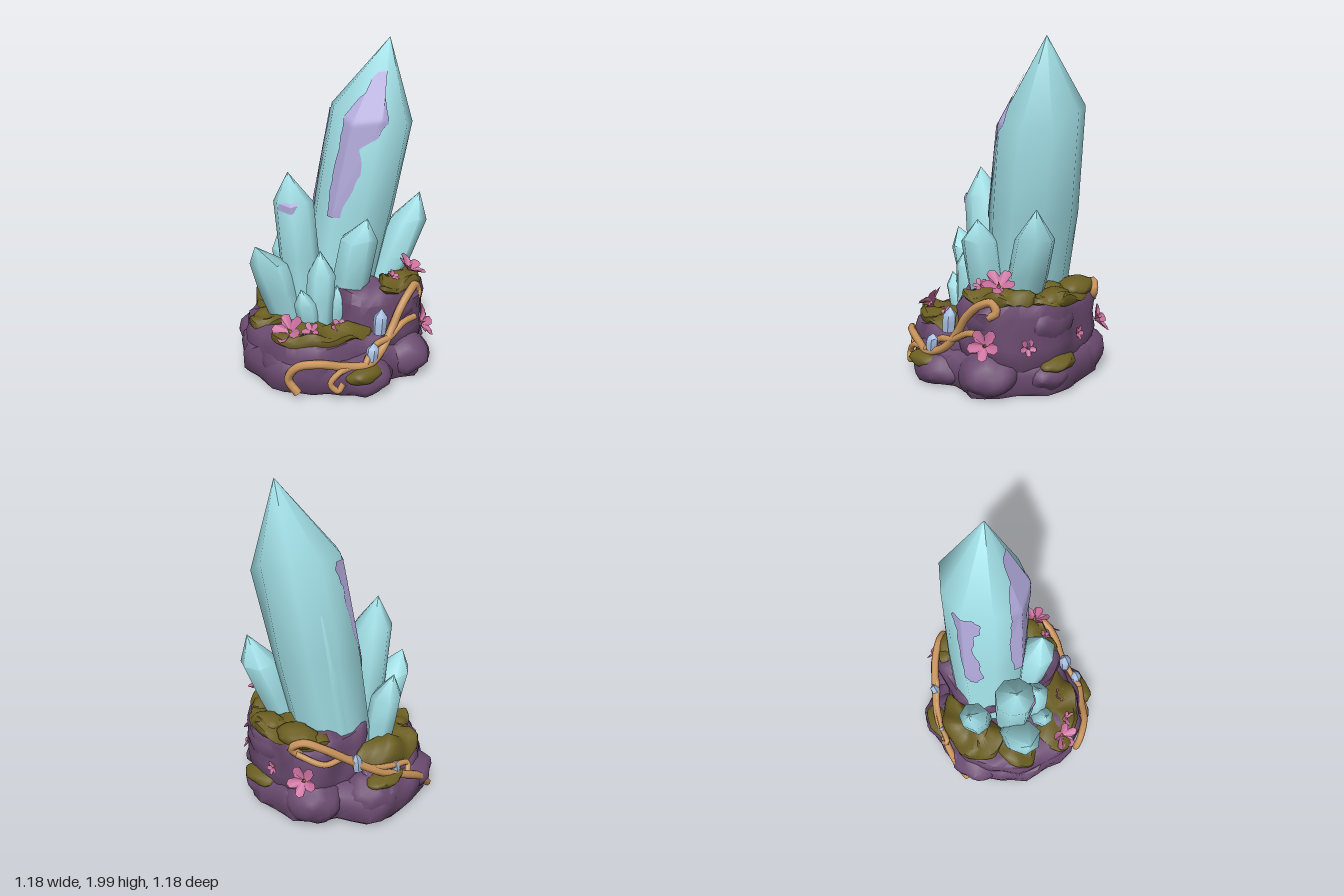
import * as THREE from 'three';
import { toCreasedNormals } from 'three/addons/utils/BufferGeometryUtils.js';

const V = (x, y, z) => new THREE.Vector3(x, y, z);
const mat = (name, color, side = THREE.FrontSide) => {
  const m = new THREE.MeshStandardMaterial({ color, side });
  m.name = name;
  return m;
};

export function createModel() {
  const model = new THREE.Group();
  model.name = 'crystalCluster';
  const crystalBlue = mat('crystal blue', 0xa3e2e9);
  const lavender = mat('lavender', 0xb0a8da, THREE.DoubleSide);
  const rockPurple = mat('rock purple', 0x6b4b70);
  const mossGreen = mat('moss green', 0x6b5e22);
  const vineBrown = mat('vine brown', 0xc8935a);
  const petalPink = mat('petal pink', 0xcb709f, THREE.DoubleSide);
  const shardBlue = mat('shard blue', 0xa9c0e4);
  const pollen = mat('pollen yellow', 0xc9a24a);

  const add = (name, geo, material) => {
    const m = new THREE.Mesh(geo, material);
    m.name = name;
    model.add(m);
    return m;
  };

  // Skin a stack of rings, listed from bottom to top
  function loft(rings, crease) {
    const n = rings[0].length, pos = [], idx = [];
    rings.forEach(r => r.forEach(p => pos.push(p.x, p.y, p.z)));
    for (let k = 0; k < rings.length - 1; k++) {
      for (let j = 0; j < n; j++) {
        const a = k * n + j, b = k * n + (j + 1) % n;
        idx.push(a, a + n, b, b, a + n, b + n);
      }
    }
    const g = new THREE.BufferGeometry();
    g.setAttribute('position', new THREE.Float32BufferAttribute(pos, 3));
    g.setIndex(idx);
    return toCreasedNormals(g, crease);
  }

  // ---- Crystals: base, mid, shoulder and tip rings ----
  function crystalRings(base, shoulder, tip, r, sides, tilt = 0) {
    const b = V(...base), s = V(...shoulder), t = V(...tip);
    const mid = b.clone().lerp(s, 0.55);
    return [[b, 0], [b, r * 0.92], [mid, r * 1.03], [s, r], [t, 0]].map(([c, rad], k) =>
      Array.from({ length: sides }, (_, j) => {
        const a = j / sides * Math.PI * 2;
        const jit = k === 3 ? r * 0.12 * Math.sin(j * 2.4 + r * 30) - tilt * Math.sin(a) : 0;
        const rr = rad * (1 + 0.04 * Math.sin(j * 3.1 + k));
        return V(c.x + rr * Math.cos(a), c.y + jit, c.z + rr * Math.sin(a));
      }));
  }

  // Point just above the skinned rings at an angle in degrees and a ring height
  function onRings(rings, deg, k) {
    const n = rings[0].length, j = deg / 360 * n;
    const j0 = Math.floor(j), k0 = Math.min(Math.floor(k), rings.length - 2);
    const u = j - j0, v = k - k0;
    const A = rings[k0][j0 % n], B = rings[k0][(j0 + 1) % n];
    const C = rings[k0 + 1][j0 % n], D = rings[k0 + 1][(j0 + 1) % n];
    const mix = (O, P, s, Q, t) => O.clone().addScaledVector(P.clone().sub(O), s).addScaledVector(Q.clone().sub(O), t);
    const p = u + v <= 1 ? mix(A, B, u, C, v) : mix(D, C, 1 - u, B, 1 - v);
    const a = deg * Math.PI / 180;
    return p.add(V(Math.cos(a), 0.3, Math.sin(a)).multiplyScalar(0.007));
  }

  // Thin tinted patch over a crystal; rows are [ring height, from angle, to angle]
  function patch(rings, rows) {
    const R = 40, C = 16, pos = [], idx = [];
    for (let i = 0; i <= R; i++) {
      const f = i / R * (rows.length - 1), i0 = Math.min(Math.floor(f), rows.length - 2);
      const [k, a, b] = rows[i0].map((v, q) => THREE.MathUtils.lerp(v, rows[i0 + 1][q], f - i0));
      const wob = 1.5 * Math.sin(i * 0.9);
      for (let j = 0; j <= C; j++) {
        pos.push(...onRings(rings, THREE.MathUtils.lerp(a + wob, b - wob * 0.6, j / C), k).toArray());
        if (i < R && j < C) {
          const p = i * (C + 1) + j, q = p + C + 1;
          idx.push(p, q, p + 1, p + 1, q, q + 1);
        }
      }
    }
    const g = new THREE.BufferGeometry();
    g.setAttribute('position', new THREE.Float32BufferAttribute(pos, 3));
    g.setIndex(idx);
    g.computeVertexNormals();
    add('lavenderPatch', g, lavender);
  }

  const main = crystalRings([0.09, 0.3, -0.085], [0.285, 1.55, 0.035], [0.37, 2, 0.1], 0.255, 9, 0.06);
  add('mainCrystal', loft(main, 1.1), crystalBlue);
  patch(main, [[1.94, 150, 172], [2.2, 143, 176], [2.4, 134, 178], [2.7, 142, 176], [2.82, 122, 176],
    [2.98, 112, 176], [3.15, 108, 172], [3.35, 112, 160], [3.58, 120, 132]]);
  patch(main, [[1.86, 224, 234], [1.96, 216, 240], [2.2, 220, 245], [2.5, 228, 250], [2.7, 224, 250], [2.78, 216, 254],
    [2.9, 218, 258], [2.95, 226, 254]]);

  const tall = crystalRings([-0.17, 0.28, -0.06], [-0.237, 1.05, -0.09], [-0.27, 1.23, -0.1], 0.122, 8);
  add('tallSideCrystal', loft(tall, 1.1), crystalBlue);
  patch(tall, [[2.88, 130, 175], [2.98, 118, 172], [3.1, 112, 150]]);

  [
    [[-0.26, 0.28, -0.1], [-0.4, 0.69, -0.125], [-0.495, 0.81, -0.13], 0.115],
    [[-0.2, 0.28, 0.1], [-0.19, 0.64, 0.11], [-0.2, 0.78, 0.11], 0.085],
    [[-0.26, 0.28, 0.1], [-0.31, 0.48, 0.1], [-0.34, 0.57, 0.1], 0.065],
    [[-0.01, 0.3, 0.11], [-0.003, 0.84, 0.235], [0.02, 0.97, 0.28], 0.113],
    [[0.23, 0.4, 0.15], [0.405, 0.9, 0.25], [0.45, 1.07, 0.3], 0.115],
    [[-0.08, 0.3, -0.27], [-0.115, 0.68, -0.32], [-0.13, 0.83, -0.36], 0.095],
    [[-0.1, 0.28, 0.13], [-0.1, 0.47, 0.16], [-0.12, 0.56, 0.17], 0.06],
    [[0.14, 0.3, -0.21], [0.27, 1.3, -0.13], [0.3, 1.5, -0.12], 0.11],
  ].forEach(c => add('smallCrystal', loft(crystalRings(...c, 7), 1.1), crystalBlue));

  // ---- Rock and moss: a plan outline [x, z] stacked at [y, scale] ----
  function mound(name, outline, levels, rough, material) {
    const curve = new THREE.CatmullRomCurve3(outline.map(([x, z]) => V(x, 0, z)), true);
    const c = outline.reduce((s, [x, z]) => s.add(V(x, 0, z)), V(0, 0, 0)).divideScalar(outline.length);
    let pts = curve.getPoints(40).slice(0, 40);
    const area = pts.reduce((s, p, i) => s + p.x * pts[(i + 1) % 40].z - p.z * pts[(i + 1) % 40].x, 0);
    if (area < 0) pts = pts.reverse();
    const rings = levels.map(([y, s], k) => pts.map(p => {
      const q = c.clone().lerp(p, s);
      const n = s > 0 ? Math.sin(q.x * 23 + k * 0.6) * Math.sin(q.z * 21 - k * 0.5) * rough : 0;
      const grow = 1 + n * 1.5;
      return V(c.x + (q.x - c.x) * grow, y > 0.05 ? y + n * 0.8 : y, c.z + (q.z - c.z) * grow);
    }));
    add(name, loft(rings, 0.9), material);
  }

  const radii = [.56, .58, .53, .59, .49, .57, .54, .58, .575, .575, .57, .58, .57, .595, .5, .57];
  mound('rockFoot', radii.map((r, i) => [r * Math.cos(i * Math.PI / 8), r * Math.sin(i * Math.PI / 8)]),
    [[.01, 0], [.01, .95], [.04, .99], [.13, 1], [.19, .97], [.235, .87], [.25, .5], [.25, 0]], 0.025, rockPurple);
  mound('rockLowShelf', [[-.55, 0], [-.53, .22], [-.4, .38], [-.2, .43], [0, .45], [.1, .2], [.1, -.25], [.2, -.47],
    [0, -.5], [-.25, -.47], [-.42, -.33], [-.52, -.18]],
    [[.12, .98], [.25, 1], [.3, .95], [.33, .8], [.34, .5], [.34, 0]], 0.025, rockPurple);
  mound('rockHighShelf', [[.53, 0], [.52, .2], [.42, .38], [.25, .47], [.07, .46], [-.08, .36], [-.13, .15],
    [-.12, -.15], [0, -.29], [.2, -.34], [.42, -.3], [.52, -.2]],
    [[.12, .85], [.2, .96], [.29, 1], [.38, .96], [.47, 1], [.53, .93], [.55, .75], [.55, 0]], 0.035, rockPurple);

  // Rounded lumps breaking up the outline
  function lump(name, [x, y, z, sx, sy, sz], material) {
    const g = new THREE.IcosahedronGeometry(1, 3), p = g.attributes.position;
    for (let i = 0; i < p.count; i++) {
      const v = V().fromBufferAttribute(p, i);
      v.multiplyScalar(1 + 0.08 * Math.sin(v.x * 5 + x * 20) * Math.sin(v.y * 4 + v.z * 5));
      p.setXYZ(i, x + v.x * sx, Math.max(0.01, y + v.y * sy), z + v.z * sz);
    }
    add(name, toCreasedNormals(g, 0.9), material);
  }
  [
    [-.14, .09, .4, .19, .12, .18], [.2, .12, .39, .18, .14, .19], [.42, .11, .16, .15, .1, .17],
    [.4, .14, -.2, .17, .15, .18], [.13, .15, -.42, .17, .14, .16], [-.22, .14, -.38, .2, .13, .18],
    [-.4, .15, .08, .17, .16, .2], [.4, .4, .13, .14, .15, .2], [.17, .42, .32, .18, .13, .15],
  ].forEach(l => lump('rockLump', l, rockPurple));

  const moss = (outline, y0, y1) => mound('moss', outline,
    [[y0, .92], [y0 + .012, .99], [y0 + (y1 - y0) * .55, .96], [y0 + (y1 - y0) * .85, .8], [y1, .5], [y1, 0]], 0.04, mossGreen);
  moss([[-.56, .12], [-.5, .24], [-.36, .36], [-.18, .42], [-.03, .39], [-.05, .25], [-.1, .1], [-.3, .03], [-.45, .03]], .3, .36);
  moss([[-.34, -.3], [-.26, -.46], [-.1, -.51], [.08, -.47], [.18, -.36], [.05, -.28], [-.05, -.2], [-.25, -.18]], .3, .44);
  moss([[-.53, -.12], [-.45, -.24], [-.3, -.27], [-.15, -.2], [-.2, -.05], [-.4, -.02]], .3, .37);
  moss([[.55, .1], [.5, .25], [.38, .29], [.3, .1], [.25, -.23], [.33, -.31], [.45, -.26], [.53, -.12]], .51, .58);
  moss([[.1, .3], [.03, .42], [.2, .45], [.36, .41], [.43, .28], [.3, .2]], .52, .59);
  [
    [-.2, .14, .49, .12, .05, .08], [.49, .18, .15, .09, .05, .14], [.08, .26, -.49, .14, .04, .08],
    [.44, .55, -.12, .1, .065, .14], [.45, .54, .13, .09, .06, .12], [.25, .55, .34, .12, .06, .09],
  ].forEach(l => lump('mossLump', l, mossGreen));

  // ---- Vines ----
  const vine = (r, pts) => add('vine', new THREE.TubeGeometry(
    new THREE.CatmullRomCurve3(pts.map(p => V(...p))), pts.length * 6, r, 7), vineBrown);
  vine(.025, [[-.52, .05, .29], [-.55, .13, .24], [-.52, .21, .29], [-.43, .23, .38], [-.31, .2, .44], [-.18, .19, .5],
    [-.06, .24, .49], [.03, .34, .48], [.1, .45, .48], [.19, .53, .47], [.26, .55, .45], [.29, .5, .45], [.25, .47, .47]]);
  vine(.02, [[-.2, .2, .5], [-.1, .28, .48], [0, .3, .49], [.12, .36, .49], [.22, .37, .49]]);
  vine(.018, [[-.28, .19, .46], [-.35, .18, .45], [-.4, .12, .43], [-.37, .08, .46], [-.34, .12, .47]]);
  vine(.025, [[.5, .48, -.2], [.54, .53, -.17], [.5, .57, -.23], [.42, .53, -.31], [.27, .42, -.41], [.12, .32, -.49],
    [-.05, .24, -.53], [-.2, .16, -.54], [-.31, .05, -.52]]);
  vine(.019, [[.53, .5, -.2], [.43, .44, -.33], [.3, .45, -.38], [.17, .36, -.46], [.02, .33, -.51], [-.08, .31, -.53], [-.06, .27, -.55]]);

  // Pale shards caught in the vines
  [[-.05, .33, .46, .04, .15], [-.15, .21, .5, .035, .1], [.25, .36, -.42, .03, .12], [0, .27, -.51, .025, .09]]
    .forEach(([x, y, z, r, h]) => add('paleShard',
      loft(crystalRings([x, y, z], [x + .01, y + h * .7, z], [x + .015, y + h, z], r, 6), 0.8), shardBlue));

  // ---- Flowers: five-petalled cups; lift turns them upward ----
  function flower(x, y, z, size, lift) {
    const f = new THREE.Group();
    f.name = 'flower';
    const g = new THREE.CylinderGeometry(size, size * 0.12, size * 0.5, 20, 1, true);
    const p = g.attributes.position;
    const reach = [1.08, 0.97, 0.6, 0.97];
    for (let i = 0; i < p.count; i++) {
      const s = reach[i % 21 % 4];
      if (p.getY(i) > 0) p.setXYZ(i, p.getX(i) * s, p.getY(i) * s, p.getZ(i) * s);
    }
    g.rotateX(Math.PI / 2);
    const petals = new THREE.Mesh(toCreasedNormals(g, 0.4), petalPink);
    petals.name = 'petals';
    const stamen = new THREE.Mesh(new THREE.ConeGeometry(size * .12, size * .6, 5).rotateX(Math.PI / 2), pollen);
    stamen.name = 'stamen';
    f.add(petals, stamen);
    f.position.set(x, y, z);
    f.lookAt(x * 2, y + lift, z * 2);
    model.add(f);
  }
  [
    [-.48, .38, .16, .09, .6], [-.39, .375, .25, .05, .6], [-.22, .37, .3, .045, .5], [.27, .65, .4, .09, .8],
    [.13, .62, .39, .04, .5], [.26, .33, .52, .085, .3], [.53, .34, -.25, .085, .3], [.54, .32, 0, .04, .1], [.44, .31, .36, .045, .2],
  ].forEach(a => flower(...a));

  return model;
}
